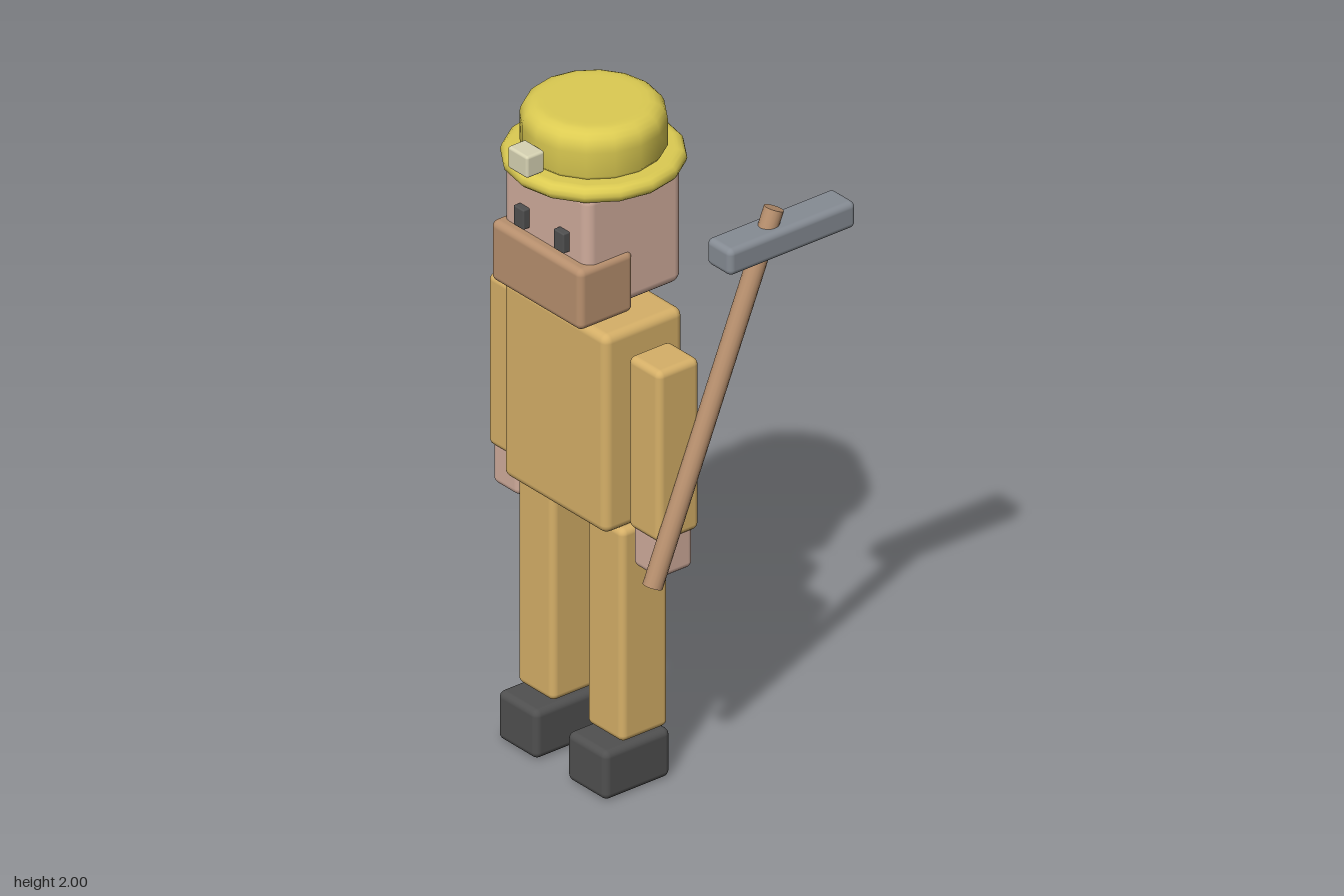
import * as THREE from 'three';
import { RoundedBoxGeometry } from 'three/addons/geometries/RoundedBoxGeometry.js';

const mat = (name, color) => {
  const m = new THREE.MeshStandardMaterial({ color });
  m.name = name;
  return m;
};

export function createModel() {
  const suit = mat('ochre cloth', 0xd6b068);
  const skin = mat('skin', 0xd0ac9c);
  const wood = mat('brown wood', 0xb8906e);
  const hatYellow = mat('helmet yellow', 0xdccb52);
  const charcoal = mat('charcoal', 0x505050);
  const steel = mat('steel', 0x868c94);
  const lampGlass = mat('pale lamp', 0xd8d4b4);

  const model = new THREE.Group();
  // the figure stands off the origin, because the tool is held out to one side
  const figure = new THREE.Group();
  figure.name = 'figure';
  figure.position.set(-0.035, 0, 0.147);
  model.add(figure);

  const add = (parent, name, geometry, material, x, y, z) => {
    const mesh = new THREE.Mesh(geometry, material);
    mesh.name = name;
    mesh.position.set(x, y, z);
    parent.add(mesh);
    return mesh;
  };
  const box = (parent, name, material, [w, h, d], [x, y, z], r = 0.02) =>
    add(parent, name, new RoundedBoxGeometry(w, h, d, 3, r), material, x, y, z);

  // body and head
  box(figure, 'torso', suit, [0.435, 0.605, 0.272], [0, 1.107, 0.002], 0.025);
  add(figure, 'neck', new THREE.CylinderGeometry(0.094, 0.094, 0.12, 16), skin, 0, 1.44, 0);
  box(figure, 'head', skin, [0.358, 0.37, 0.333], [0, 1.645, 0.003], 0.03);
  box(figure, 'beard', wood, [0.38, 0.185, 0.187], [0, 1.53, 0.109]);

  // limbs and eyes, mirrored
  for (const [side, s] of [['left', 1], ['right', -1]]) {
    box(figure, side + 'Arm', suit, [0.134, 0.523, 0.143], [s * 0.295, 1.078, 0]);
    box(figure, side + 'Hand', skin, [0.114, 0.135, 0.122], [s * 0.295, 0.768, 0.003]);
    box(figure, side + 'Leg', suit, [0.153, 0.65, 0.163], [s * 0.146, 0.478, 0.003]);
    box(figure, side + 'Boot', charcoal, [0.165, 0.148, 0.228], [s * 0.146, 0.074, 0.033]);
    box(figure, side + 'Eye', charcoal, [0.043, 0.06, 0.03], [s * 0.084, 1.668, 0.176], 0.004);
  }

  // helmet: lathed brim and crown with rounded edges
  const lathe = (profile) =>
    new THREE.LatheGeometry(profile.map(([r, y]) => new THREE.Vector2(r, y)), 16);
  const arc = (r, y, radius, from, to, n) =>
    Array.from({ length: n + 1 }, (_, i) => {
      const a = from + ((to - from) * i) / n;
      return [r + radius * Math.cos(a), y + radius * Math.sin(a)];
    });
  const half = Math.PI / 2;
  add(figure, 'helmetBrim',
    lathe([[0, 0], [0.22, 0], ...arc(0.227, 0.024, 0.024, -half, half, 6), [0.22, 0.048], [0, 0.048]]),
    hatYellow, 0, 1.811, 0);
  add(figure, 'helmetCrown',
    lathe([[0.16, 0], [0.185, 0.003], [0.199, 0.02], [0.199, 0.09], ...arc(0.149, 0.1, 0.05, 0, half, 5), [0.13, 0.15], [0, 0.15]]),
    hatYellow, 0, 1.85, 0);
  box(figure, 'helmetLamp', lampGlass, [0.083, 0.066, 0.062], [0, 1.898, 0.233], 0.008);

  // long-handled hammer leaning backwards
  const hammer = new THREE.Group();
  hammer.name = 'hammer';
  model.add(hammer);
  const foot = new THREE.Vector3(0.343, 0.711, 0.254);
  const tip = new THREE.Vector3(0.343, 1.719, -0.165);
  const along = tip.clone().sub(foot);
  const mid = foot.clone().lerp(tip, 0.5);
  const handle = add(hammer, 'hammerHandle',
    new THREE.CylinderGeometry(0.028, 0.028, along.length(), 16), wood, mid.x, mid.y, mid.z);
  handle.quaternion.setFromUnitVectors(new THREE.Vector3(0, 1, 0), along.normalize());
  box(hammer, 'hammerHead', steel, [0.103, 0.081, 0.438], [0.343, 1.635, -0.19], 0.018);

  return model;
}
